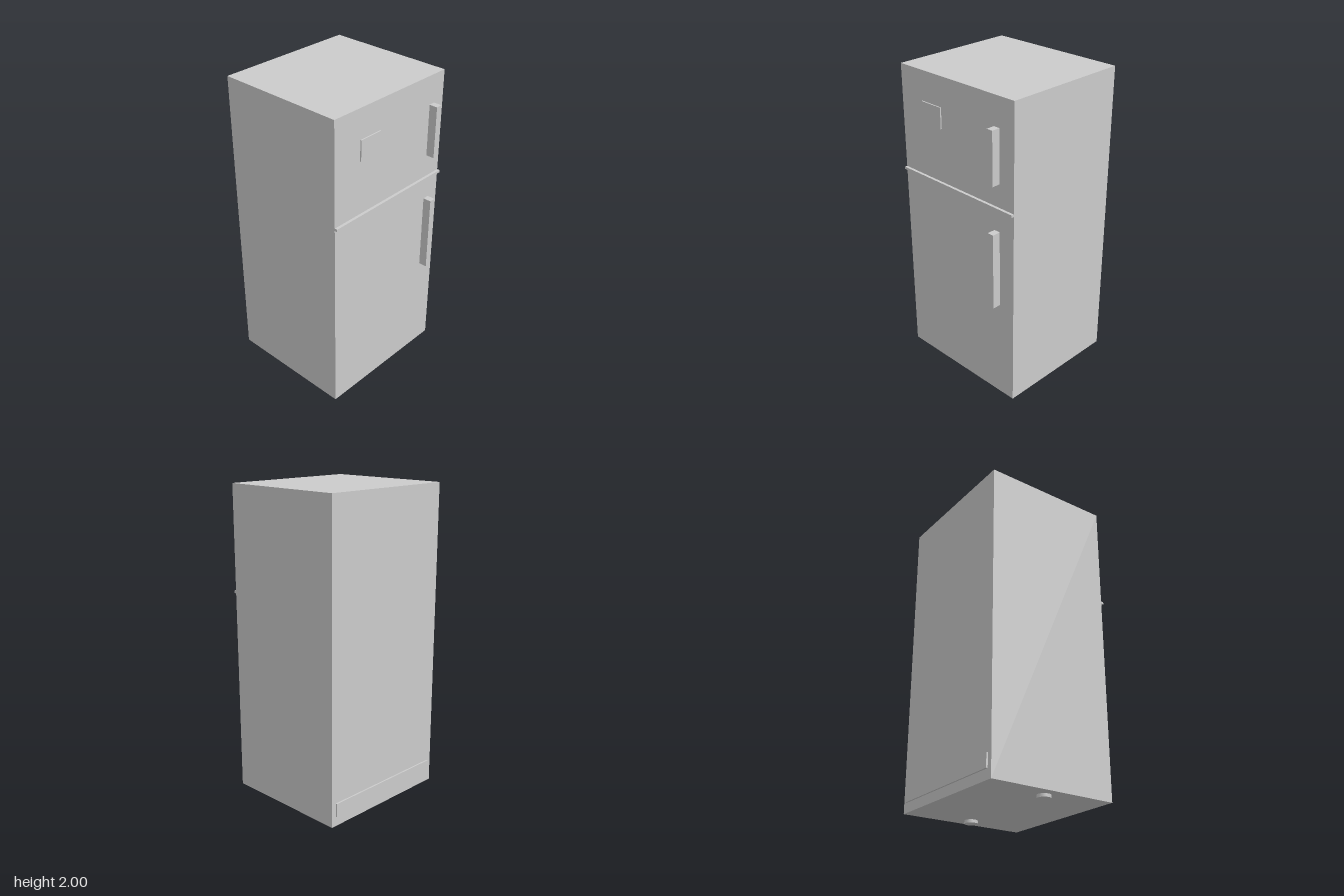
import * as THREE from 'three';

const material = new THREE.MeshStandardMaterial({ color: 0xcccccc });

export function createModel() {
  const model = new THREE.Group();
  model.name = 'refrigerator';

  // Box given by its extents along each axis
  const box = (name, [x0, x1], [y0, y1], [z0, z1]) => {
    const mesh = new THREE.Mesh(new THREE.BoxGeometry(x1 - x0, y1 - y0, z1 - z0), material);
    mesh.name = name;
    mesh.position.set((x0 + x1) / 2, (y0 + y1) / 2, (z0 + z1) / 2);
    model.add(mesh);
  };

  // Cabinet and the strip between freezer and fridge doors
  box('cabinet', [-0.465, 0.465], [0.02, 2], [-0.451, 0.391]);
  box('doorDivider', [-0.465, 0.465], [1.321, 1.337], [0.38, 0.409]);

  // Door handles, standing just off the doors
  const handleX = [0.324, 0.366];
  const handleZ = [0.404, 0.458];
  box('freezerHandle', handleX, [1.494, 1.826], handleZ);
  box('fridgeHandle', handleX, [0.692, 1.19], handleZ);

  // Display panel on the freezer door
  box('displayPanel', [-0.272, -0.109], [1.687, 1.818], [0.4, 0.408]);

  // Vent cover low on the back
  box('rearVent', [-0.433, 0.433], [0.083, 0.17], [-0.461, -0.445]);

  // Pair of round feet
  for (const side of [-1, 1]) {
    const foot = new THREE.Mesh(new THREE.CylinderGeometry(0.042, 0.042, 0.02, 24), material);
    foot.name = side > 0 ? 'leftFoot' : 'rightFoot';
    foot.position.set(side * 0.368, 0.01, -0.03);
    model.add(foot);
  }

  return model;
}
